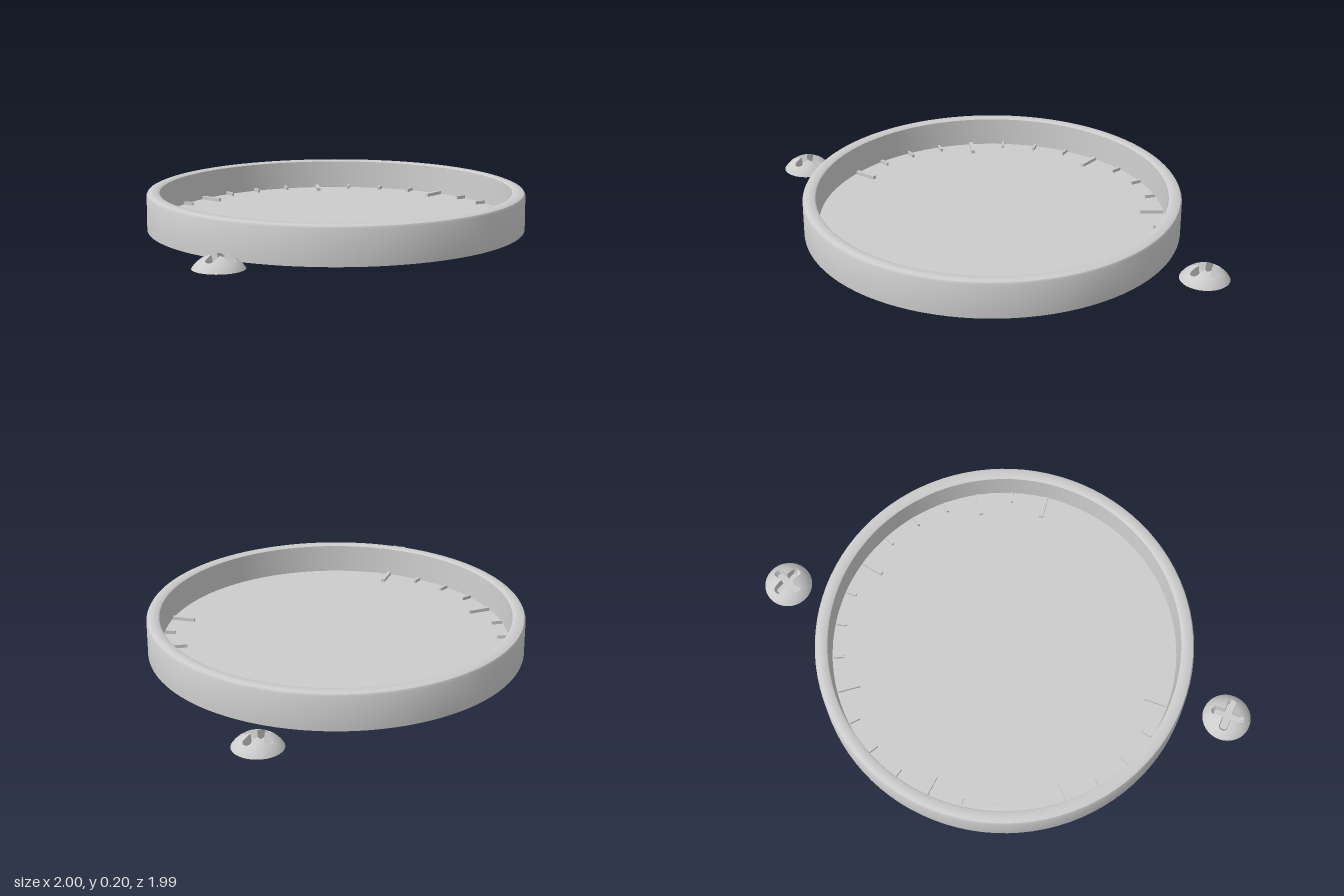
import * as THREE from 'three';
import { toCreasedNormals } from 'three/addons/utils/BufferGeometryUtils.js';

const metal = new THREE.MeshStandardMaterial({ color: 0xcccccc, side: THREE.DoubleSide });
metal.name = 'grey metal';

function addMesh(parent, name, geometry) {
  const mesh = new THREE.Mesh(geometry, metal);
  mesh.name = name;
  parent.add(mesh);
  return mesh;
}

// Outline of the cross-shaped slot: one arm repeated by quarter turns
function crossOutline(halfWidth, length, steps) {
  const w = halfWidth, c = 0.012;
  const arm = [[w, -w], [length - c, -w], [length, c - w], [length, w - c], [length - c, w]];
  const corners = [];
  for (let q = 0; q < 4; q++) {
    for (const [x, y] of arm) {
      corners.push(new THREE.Vector2(x, y).rotateAround(new THREE.Vector2(), q * Math.PI / 2));
    }
  }
  const points = [];
  corners.forEach((p, i) => {
    const next = corners[(i + 1) % corners.length];
    for (let s = 0; s < steps; s++) points.push(p.clone().lerp(next, s / steps));
  });
  return points;
}

// Hollow domed screw head, made of loops from the round edge into the slot
function screwGeometry() {
  const radius = 0.127, height = 0.07, floorY = 0.016, bands = 8;
  const R = (radius * radius + height * height) / (2 * height);
  const domeY = r => Math.sqrt(R * R - r * r) - (R - height);
  const outline = crossOutline(0.023, 0.088, 3);
  const n = outline.length;
  const positions = [], index = [];
  for (let k = 0; k <= bands + 2; k++) {
    for (let j = 0; j < n; j++) {
      const a = -Math.PI / 4 + j / n * Math.PI * 2;
      const p = new THREE.Vector2(Math.cos(a), Math.sin(a)).multiplyScalar(radius);
      p.lerp(outline[j], Math.min(k / bands, 1));
      let y = domeY(Math.min(p.length(), radius));
      if (k > bands) {
        p.multiplyScalar(k === bands + 1 ? 0.82 : 0);
        y = floorY;
      }
      positions.push(p.x, y, -p.y);
    }
  }
  for (let k = 0; k < bands + 2; k++) {
    for (let j = 0; j < n; j++) {
      const a = k * n + j, b = k * n + (j + 1) % n;
      index.push(a, b, a + n);
      if (k < bands + 1) index.push(b, b + n, a + n);
    }
  }
  const geometry = new THREE.BufferGeometry();
  geometry.setAttribute('position', new THREE.Float32BufferAttribute(positions, 3));
  geometry.setIndex(index);
  return toCreasedNormals(geometry, 0.6);
}

export function createModel() {
  const model = new THREE.Group();
  model.name = 'gauge housing';

  // Hollow rim, open underneath
  const profile = [
    [0.995, 0], [0.995, 0.182], [0.989, 0.193], [0.972, 0.2],
    [0.937, 0.2], [0.927, 0.194], [0.916, 0.042],
  ].map(([r, y]) => new THREE.Vector2(r, y));
  addMesh(model, 'rim', toCreasedNormals(new THREE.LatheGeometry(profile, 96), 0.6));

  // Dial plate
  const dial = addMesh(model, 'dialPlate', new THREE.CylinderGeometry(0.916, 0.916, 0.006, 96));
  dial.position.y = 0.041;

  // Scale marks every 12 degrees, every fourth one longer
  const marks = new THREE.Group();
  marks.name = 'scaleMarks';
  model.add(marks);
  for (let i = 0; i <= 22; i++) {
    const major = i % 4 === 0 || i === 22;
    const length = major ? 0.12 : 0.055;
    const pivot = new THREE.Group();
    pivot.rotation.y = -THREE.MathUtils.degToRad(-132 + i * 12);
    const mark = addMesh(pivot, major ? 'majorMark' : 'minorMark',
      new THREE.BoxGeometry(major ? 0.02 : 0.012, 0.02, length));
    mark.position.set(0, 0.052, -0.91 + length / 2);
    marks.add(pivot);
  }

  // Two loose screw heads at opposite corners
  const head = screwGeometry();
  for (const [name, x, z, turn] of [
    ['backScrew', 0.873, -0.868, 20], ['frontScrew', -0.873, 0.865, 41],
  ]) {
    const screw = addMesh(model, name, head);
    screw.position.set(x, 0.02, z);
    screw.rotation.y = THREE.MathUtils.degToRad(turn);
  }
  return model;
}
